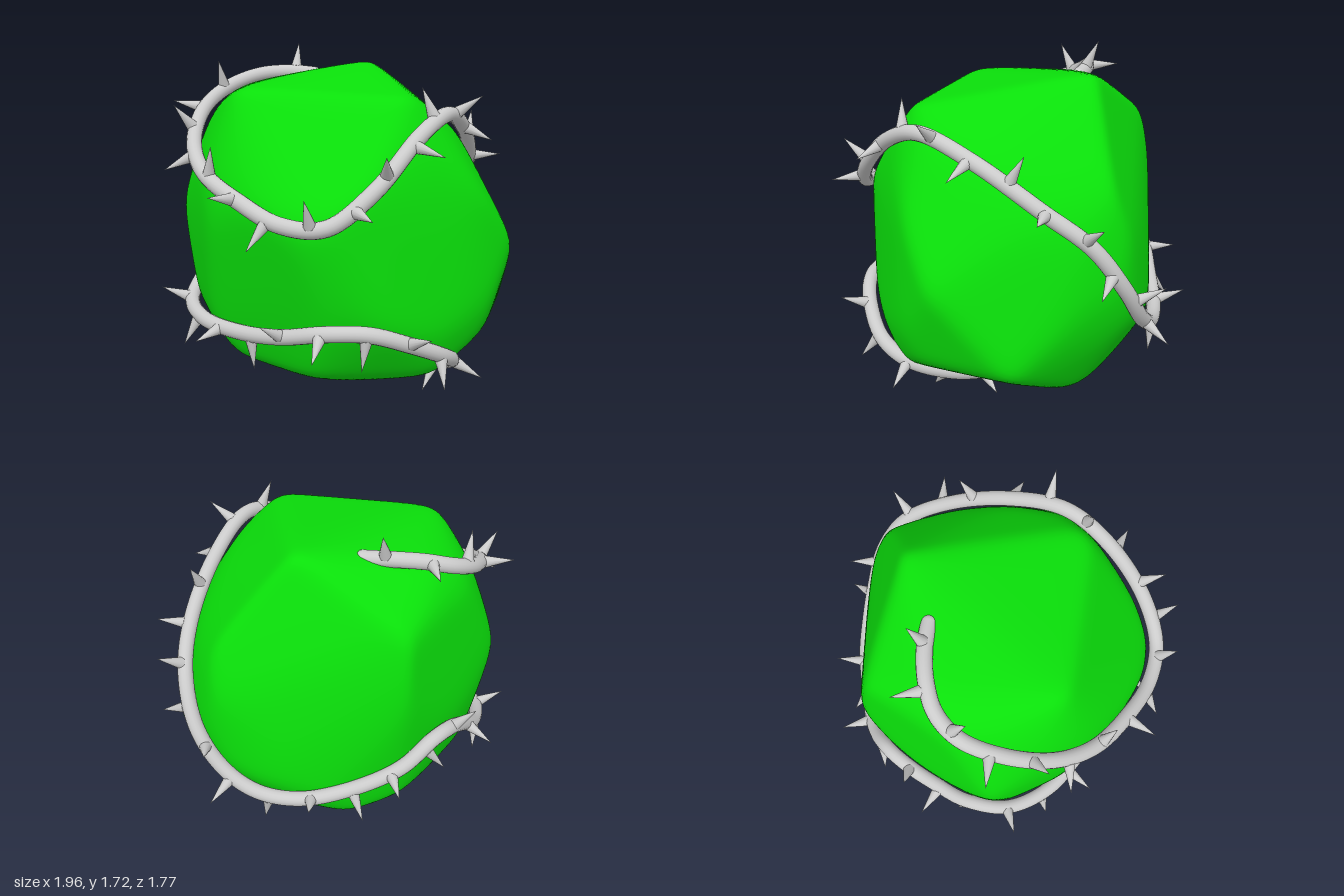
import * as THREE from 'three';
import { ConvexGeometry } from 'three/addons/geometries/ConvexGeometry.js';
import { mergeVertices } from 'three/addons/utils/BufferGeometryUtils.js';

const V = (x, y, z) => new THREE.Vector3(x, y, z);
const centre = V(0, 0.8, 0);

// Course of the vine, from the top round the boulder and down to the underside
const route = [
  [0.13, 1.55, -0.28], [0.07, 1.56, -0.39], [-0.03, 1.55, -0.51], [-0.14, 1.51, -0.59], [-0.28, 1.45, -0.61],
  [-0.47, 1.36, -0.54], [-0.66, 1.23, -0.39], [-0.77, 1.12, -0.2], [-0.81, 1.03, 0.05], [-0.8, 0.95, 0.3],
  [-0.72, 0.95, 0.49], [-0.53, 1.1, 0.61], [-0.25, 1.31, 0.65], [0, 1.39, 0.64], [0.3, 1.3, 0.56],
  [0.6, 1.12, 0.43], [0.78, 0.96, 0.29], [0.86, 0.74, 0.15], [0.84, 0.54, 0], [0.77, 0.43, -0.16],
  [0.65, 0.41, -0.34], [0.46, 0.47, -0.53], [0.28, 0.58, -0.68], [0.12, 0.69, -0.74], [-0.02, 0.68, -0.75],
  [-0.18, 0.58, -0.73], [-0.35, 0.46, -0.69], [-0.55, 0.38, -0.57], [-0.67, 0.35, -0.35], [-0.7, 0.35, -0.08],
  [-0.71, 0.39, 0.2], [-0.67, 0.45, 0.45], [-0.56, 0.45, 0.61], [-0.4, 0.38, 0.72], [-0.2, 0.28, 0.78],
  [-0.05, 0.2, 0.73], [0.07, 0.11, 0.54], [0.13, 0.04, 0.28],
].map(p => V(...p));

// Corners of the boulder
const corners = [
  // top
  [0.4, 1.62, -0.1], [-0.2, 1.46, 0.54], [-0.57, 1.5, -0.2], [-0.2, 1.38, -0.62], [0.25, 1.32, -0.65],
  // middle
  [0.31, 0.76, 0.85], [0.1, 0.47, 0.84], [0.05, 1.02, 0.8], [0.8, 0.92, 0.03], [0.74, 1.14, 0.12],
  [0.73, 0.6, 0.38], [-0.75, 0.86, 0.35], [-0.76, 0.9, -0.2], [-0.7, 1.2, -0.1], [-0.5, 0.9, -0.67],
  [0.28, 0.95, -0.69], [0.52, 0.8, -0.42],
  // lower
  [0.77, 0.45, 0.1], [0.61, 0.33, 0.62], [0.6, 0.12, 0.1], [0.2, 0.3, -0.64], [-0.35, 0.3, -0.61],
  [-0.62, 0.2, -0.2], [-0.58, 0.17, 0.3], [-0.15, 0.14, 0.69], [0.12, 0.3, 0.79], [0.45, 0.22, -0.45],
  // underside
  [0.2, 0, 0.2], [-0.2, 0.02, -0.25], [0.2, 0, -0.28], [-0.25, 0.03, 0.2],
].map(c => V(...c).sub(centre));

// The boulder also reaches up to just beneath the vine
for (const p of route) corners.push(p.clone().sub(centre).multiplyScalar(0.95));
for (const c of corners) c.multiplyScalar(1.02);

// Face planes of the boulder, largest first, leaving out near duplicates
function facePlanes() {
  const p = new ConvexGeometry(corners).attributes.position;
  const faces = [];
  const tri = new THREE.Triangle();
  for (let i = 0; i < p.count; i += 3) {
    tri.setFromAttributeAndIndices(p, i, i + 1, i + 2);
    const n = tri.getNormal(V(0, 0, 0));
    faces.push({ n, h: n.dot(tri.a), area: tri.getArea() });
  }
  faces.sort((a, b) => b.area - a.area);
  const planes = [];
  for (const f of faces) {
    if (f.h > 0.05 && !planes.some(q => q.n.dot(f.n) > 0.988)) planes.push(f);
  }
  return planes;
}

// Distance from the centre to the softened surface along a direction
function radius(planes, dir, power = 46) {
  let sum = 0;
  for (const { n, h } of planes) sum += Math.pow(Math.max(0, n.dot(dir) / h), power);
  return Math.pow(sum, -1 / power);
}

function boulder(material) {
  const planes = facePlanes();
  let geo = new THREE.IcosahedronGeometry(1, 36);
  geo.deleteAttribute('normal');
  geo.deleteAttribute('uv');
  geo = mergeVertices(geo, 1e-5);
  const p = geo.attributes.position;
  const v = V(0, 0, 0);
  for (let i = 0; i < p.count; i++) {
    v.fromBufferAttribute(p, i).normalize();
    v.multiplyScalar(radius(planes, v)).add(centre);
    p.setXYZ(i, v.x, Math.max(0.003, v.y), v.z);
  }
  geo.computeVertexNormals();
  const mesh = new THREE.Mesh(geo, material);
  mesh.name = 'boulder';
  return mesh;
}

function vine(material) {
  const group = new THREE.Group();
  group.name = 'thornyVine';
  const add = (geo, name) => {
    const mesh = new THREE.Mesh(geo, material);
    mesh.name = name;
    group.add(mesh);
    return mesh;
  };
  const curve = new THREE.CatmullRomCurve3(route, false, 'centripetal');
  curve.arcLengthDivisions = 600;
  const thick = 0.038;
  add(new THREE.TubeGeometry(curve, 320, thick, 16), 'vineStem');
  for (const t of [0, 1]) {
    add(new THREE.SphereGeometry(thick, 16, 10), 'vineTip').position.copy(curve.getPointAt(t));
  }

  // Thorns lean to alternating sides of the outward direction
  const thorn = new THREE.ConeGeometry(0.03, 0.145, 12);
  thorn.translate(0, 0.0725, 0);
  const lean = [0.1, 1.1, -0.9, 0.5, -0.4, 1.0, -1.1];
  const count = 42;
  for (let i = 0; i < count; i++) {
    const t = (i + 0.5) / count;
    const at = curve.getPointAt(t);
    const along = curve.getTangentAt(t);
    const out = at.clone().sub(centre);
    out.addScaledVector(along, -out.dot(along)).normalize();
    out.applyAxisAngle(along, lean[i % lean.length]);
    const mesh = add(thorn, 'thorn');
    mesh.position.copy(at).addScaledVector(out, thick * 0.7);
    mesh.quaternion.setFromUnitVectors(V(0, 1, 0), out);
  }
  return group;
}

export function createModel() {
  const model = new THREE.Group();
  model.name = 'boulderWithThornyVine';
  model.add(boulder(new THREE.MeshStandardMaterial({ color: 0x0ae00a })));
  model.add(vine(new THREE.MeshStandardMaterial({ color: 0xcccccc })));
  return model;
}
